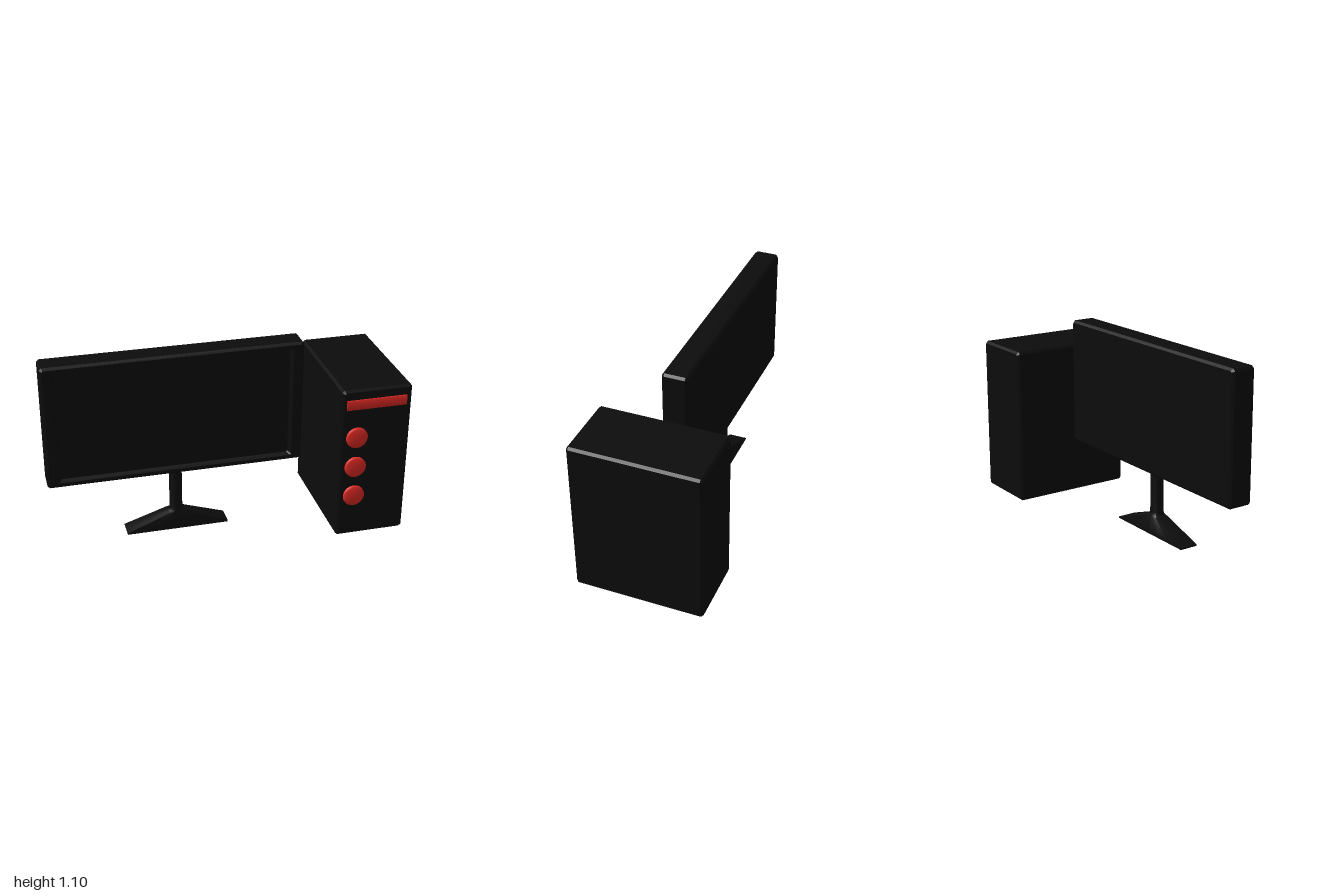
import * as THREE from 'three';
import { mergeVertices, toCreasedNormals } from 'three/addons/utils/BufferGeometryUtils.js';

const black = new THREE.MeshStandardMaterial({ color: 0x0c0c0c });
const red = new THREE.MeshStandardMaterial({ color: 0xe02a24 });

// Skin a list of rings (equal counts, counterclockwise, rising z) and cap both ends.
function loft(rings) {
  const pos = [];
  const tri = (...p) => p.forEach((v) => pos.push(v.x, v.y, v.z));
  const n = rings[0].length;
  for (let r = 0; r < rings.length - 1; r++) {
    for (let i = 0; i < n; i++) {
      const j = (i + 1) % n;
      const a = rings[r], b = rings[r + 1];
      tri(a[i], a[j], b[j]);
      tri(a[i], b[j], b[i]);
    }
  }
  const first = rings[0], last = rings[rings.length - 1];
  for (let i = 1; i < n - 1; i++) {
    tri(first[0], first[i + 1], first[i]);
    tri(last[0], last[i], last[i + 1]);
  }
  const g = new THREE.BufferGeometry();
  g.setAttribute('position', new THREE.Float32BufferAttribute(pos, 3));
  return toCreasedNormals(mergeVertices(g), 0.5);
}

// Rectangle with cut corners at height z.
function cutRect(hx, hy, z, c) {
  return [
    [hx, -hy + c], [hx, hy - c], [hx - c, hy], [-hx + c, hy],
    [-hx, hy - c], [-hx, -hy + c], [-hx + c, -hy], [hx - c, -hy],
  ].map(([x, y]) => new THREE.Vector3(x, y, z));
}

// Ring that goes from ellipse (square = 0) to rectangle (square = 1).
function roundRing(hx, hy, z, square) {
  return Array.from({ length: 24 }, (_, i) => {
    const a = (i / 24) * Math.PI * 2;
    const c = Math.cos(a), s = Math.sin(a);
    const k = THREE.MathUtils.lerp(1, 1 / Math.max(Math.abs(c), Math.abs(s)), square);
    return new THREE.Vector3(hx * c * k, hy * s * k, z);
  });
}

function add(group, name, geometry, material, x, y, z) {
  const mesh = new THREE.Mesh(geometry, material);
  mesh.name = name;
  mesh.position.set(x, y, z);
  group.add(mesh);
  return mesh;
}

export function createModel() {
  const model = new THREE.Group();
  model.name = 'desktopComputer';

  // Monitor: bevelled slab with a recessed screen
  const monitor = new THREE.Group();
  monitor.name = 'monitor';
  model.add(monitor);
  const w = 0.733, h = 0.366, c = 0.013;
  add(monitor, 'screenHousing', loft([
    cutRect(w - c, h - c, -0.0725, c / 2),
    cutRect(w, h, -0.0725 + c, c),
    cutRect(w, h, 0.0725 - c, c),
    cutRect(w - c, h - c, 0.0725, c / 2),
    cutRect(w - 0.06, h - 0.03, 0.0725, c / 2),
    cutRect(w - 0.076, h - 0.04, 0.045, c / 2),
  ]), black, -0.267, 0.736, -0.0075);

  // Stand: round neck flaring into a flat rectangular foot
  const stand = loft([
    roundRing(0.297, 0.054, 0, 1),
    roundRing(0.297, 0.054, 0.009, 1),
    roundRing(0.054, 0.042, 0.102, 0.6),
    roundRing(0.042, 0.039, 0.11, 0.2),
    roundRing(0.037, 0.037, 0.125, 0),
    roundRing(0.037, 0.037, 0.39, 0),
  ]);
  stand.rotateX(-Math.PI / 2);
  add(monitor, 'stand', stand, black, -0.267, 0, 0.005);

  // Tower case
  const tower = new THREE.Group();
  tower.name = 'tower';
  model.add(tower);
  const tw = 0.202, th = 0.46, td = 0.3675;
  add(tower, 'case', loft([
    cutRect(tw - c, th - c, -td, c / 2),
    cutRect(tw, th, -td + c, c),
    cutRect(tw, th, td - c, c),
    cutRect(tw - c, th - c, td, c / 2),
  ]), black, 0.796, 0.46, -0.0075);

  // Shallow rounded drive strip
  const strip = new THREE.CylinderGeometry(0.031, 0.031, 0.348, 24);
  strip.rotateZ(Math.PI / 2);
  strip.scale(1, 1, 0.2);
  add(tower, 'driveStrip', strip, red, 0.794, 0.831, 0.36);

  // Round front buttons with softened rims
  const profile = [[0.062, -0.01], [0.062, 0.01], [0.059, 0.014], [0.053, 0.016], [0, 0.016]]
    .map(([r, y]) => new THREE.Vector2(r, y));
  const button = toCreasedNormals(new THREE.LatheGeometry(profile, 32), 0.7);
  button.rotateX(Math.PI / 2);
  [0.63, 0.445, 0.26].forEach((y, i) => add(tower, `button${i + 1}`, button, red, 0.687, y, 0.36));

  return model;
}
